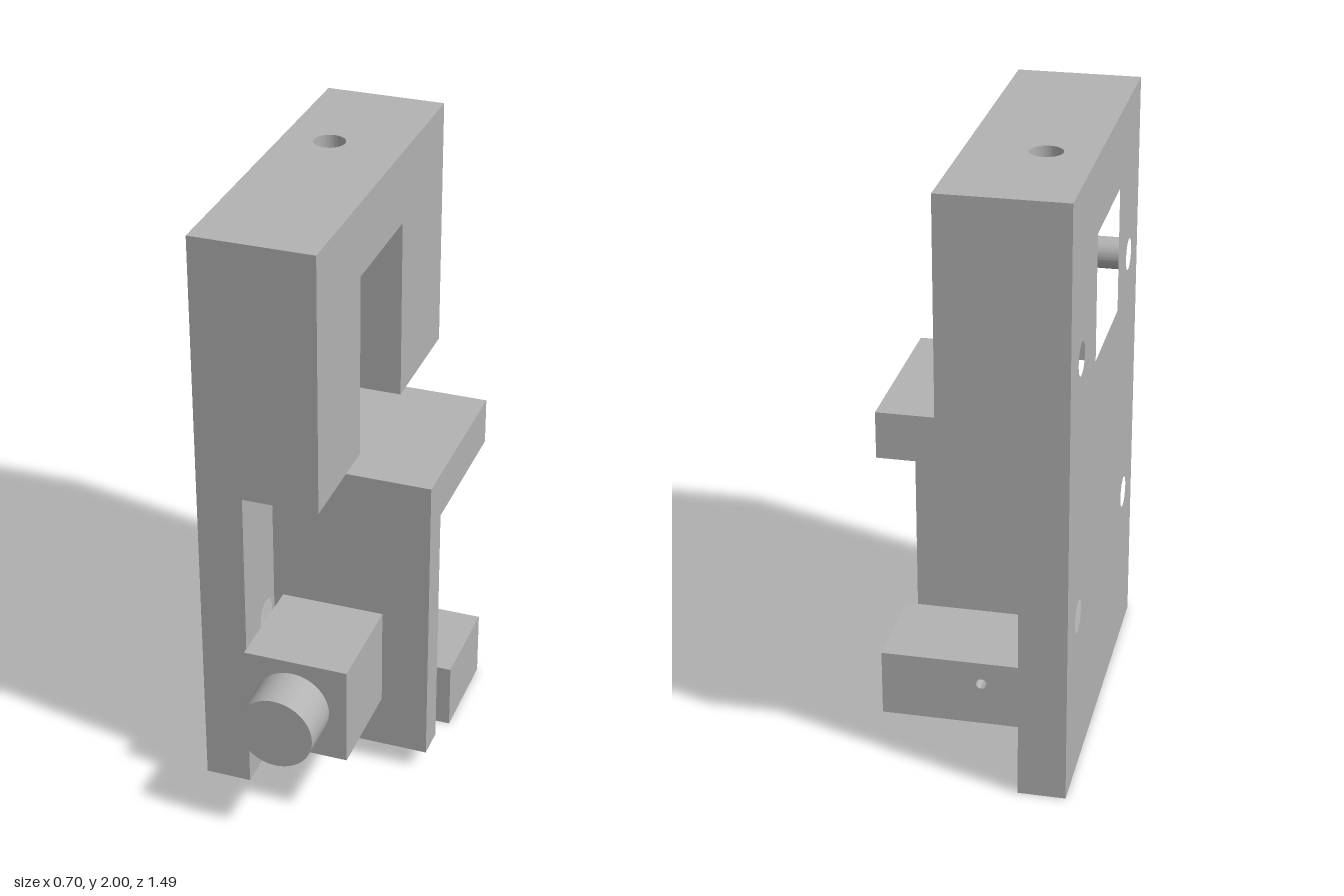
import * as THREE from 'three';
import { toCreasedNormals } from 'three/addons/utils/BufferGeometryUtils.js';

const grey = new THREE.MeshStandardMaterial({ color: 0xb2b2b2 });
grey.name = 'machined grey';

// Rectangle corners
const rect = (u0, u1, v0, v1) => [[u0, v0], [u1, v0], [u1, v1], [u0, v1]];
const toPoints = (list) => list.map(([u, v]) => new THREE.Vector2(u, v));

// Extruded outline with polygon cutouts and round holes [u, v, radius]
function prism(outline, depth, { cutouts = [], holes = [] } = {}) {
  const shape = new THREE.Shape(toPoints(outline));
  for (const c of cutouts) shape.holes.push(new THREE.Path(toPoints(c)));
  for (const [u, v, r] of holes) {
    shape.holes.push(new THREE.Path().absarc(u, v, r, 0, Math.PI * 2, true));
  }
  const geo = new THREE.ExtrudeGeometry(shape, { depth, bevelEnabled: false, curveSegments: 32 });
  return toCreasedNormals(geo, 0.6);
}

// Prism along x, drawn in (z, y)
function prismX(outline, x0, x1, { cutouts = [], holes = [] } = {}) {
  const flip = (list) => list.map(([z, ...rest]) => [-z, ...rest]);
  const geo = prism(flip(outline), x1 - x0, { cutouts: cutouts.map(flip), holes: flip(holes) });
  return geo.rotateY(Math.PI / 2).translate(x0, 0, 0);
}

// Prism along z, drawn in (x, y)
const prismZ = (outline, z0, z1, opts) => prism(outline, z1 - z0, opts).translate(0, 0, z0);

// Prism along y, drawn in (x, -z)
const prismY = (outline, y0, y1, opts) =>
  prism(outline, y1 - y0, opts).rotateX(-Math.PI / 2).translate(0, y0, 0);

export function createModel() {
  const model = new THREE.Group();
  model.name = 'mountingBracket';
  const add = (name, geo) => {
    const mesh = new THREE.Mesh(geo, grey);
    mesh.name = name;
    model.add(mesh);
  };

  const back = -0.745, front = 0.49;      // body along z
  const xOut = -0.35, xPlate = -0.195;    // plate thickness
  const xHead = 0.06, xArm = 0.345;
  const capY = 1.85, ledgeY = 1.115;
  const slotBack = -0.315, slotFront = 0.1, slotTop = 1.75;

  // Tall plate with window and four bolt holes
  const bolts = [];
  for (const z of [-0.565, 0.31]) for (const y of [0.563, 1.447]) bolts.push([z, y, 0.053]);
  add('backPlate', prismX(rect(back, front, 0, capY), xOut, xPlate, {
    cutouts: [rect(slotBack, slotFront, 1.33, slotTop)],
    holes: bolts,
  }));

  // Thick head, slotted from below
  add('headBlock', prismX([
    [back, ledgeY], [slotBack, ledgeY], [slotBack, slotTop], [slotFront, slotTop],
    [slotFront, ledgeY], [front, ledgeY], [front, capY], [back, capY],
  ], xPlate, xHead));

  // Head top with a blind hole
  add('headCap', prismY(rect(xOut, xHead, -front, -back), capY, 2, {
    holes: [[-0.19, 0.315, 0.053]],
  }));

  // Angled bracket: upright wall and top arm
  const armBack = -0.373, tip = -0.22;
  add('angleBracket', prismX([
    [0.235, 0.07], [0.235, ledgeY], [tip, ledgeY], [tip, 0.955], [0.128, 0.955], [0.128, 0.07],
  ], xPlate, xArm));
  add('armTip', prismZ(rect(xPlate, xArm, 0.955, ledgeY), armBack, tip, {
    holes: [[0.005, 1.035, 0.018]],
  }));

  // Lower block with a small blind hole in its back
  add('lowerBlock', prismX(rect(tip, -0.033, 0, 0.23), xPlate, xArm));
  add('lowerBlockBack', prismZ(rect(xPlate, xArm, 0, 0.23), armBack, tip, {
    holes: [[0.005, 0.152, 0.018]],
  }));

  // Square housing and round knob on the front
  add('knobHousing', prismZ(rect(-0.163, 0.186, 0.257, 0.602), 0.235, 0.587));
  add('knob', new THREE.CylinderGeometry(0.126, 0.126, 0.158, 64)
    .rotateX(Math.PI / 2).translate(0, 0.432, 0.666));

  return model;
}
